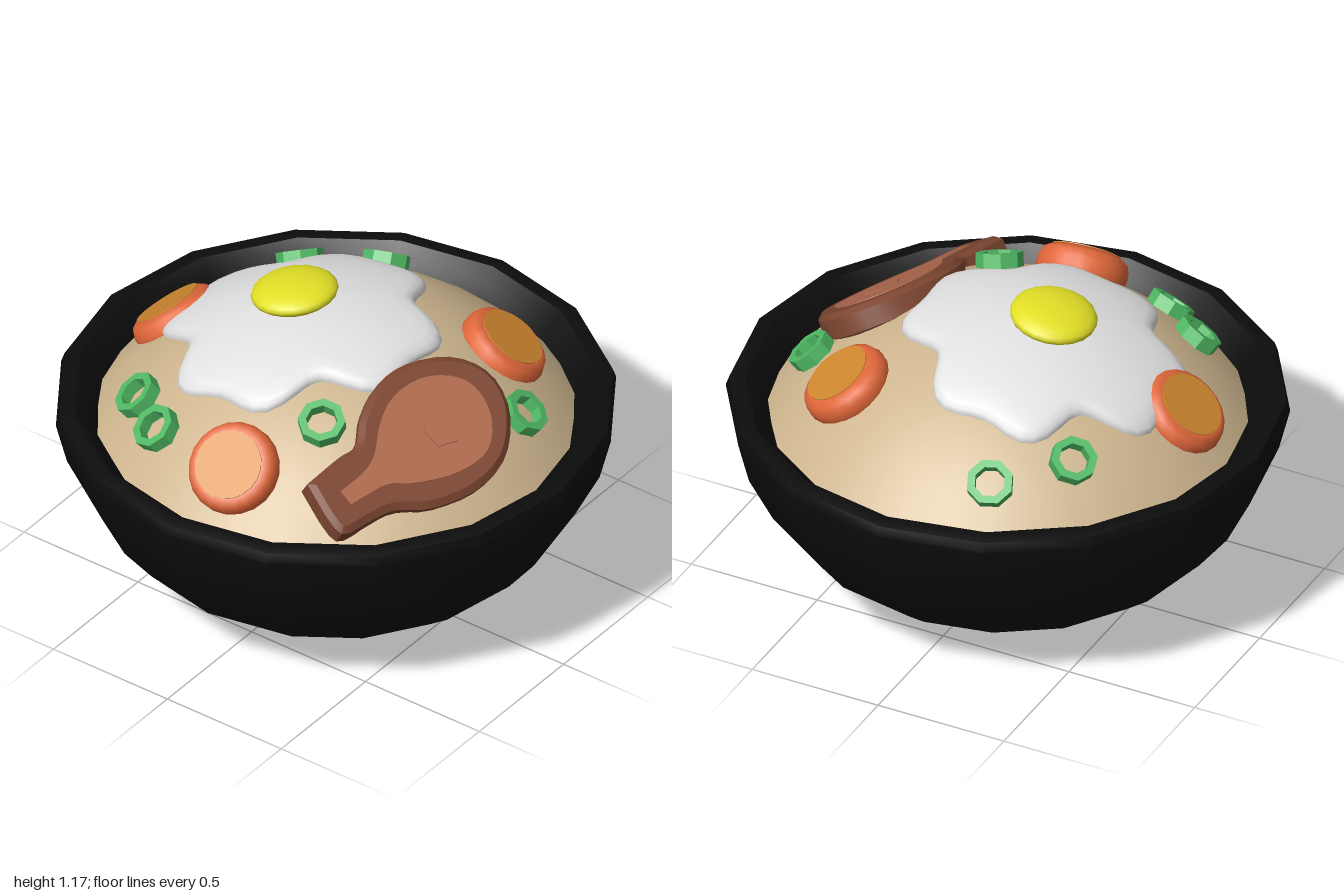
import * as THREE from 'three';
import { toCreasedNormals } from 'three/addons/utils/BufferGeometryUtils.js';

const V2 = (list) => list.map(([x, y]) => new THREE.Vector2(x, y));
const lathe = (list, sides) => new THREE.LatheGeometry(V2(list), sides);
const mat = (name, color) => {
  const m = new THREE.MeshStandardMaterial({ color });
  m.name = name;
  return m;
};

// Height and upward normal of the rice mound
const domeY = (x, z) => {
  const q = x * x + z * z;
  return 1.07 - 0.45 * q - 0.16 * q * q;
};
const domeNormal = (x, z) => {
  const k = 0.9 + 0.64 * (x * x + z * z);
  return new THREE.Vector3(k * x, 1, k * z).normalize();
};

// Four-lobed egg white draped over the rice
function eggWhiteGeometry() {
  const sides = 64, cx = -0.15;
  // [fraction of outline, height above rice]
  const rings = [[0, 0.04], [0.2, 0.04], [0.4, 0.04], [0.6, 0.04], [0.78, 0.04],
    [0.9, 0.04], [0.96, 0.034], [0.99, 0.022], [1, 0.008], [0.985, -0.015]];
  const pos = [], index = [];
  rings.forEach(([t, h], i) => {
    for (let j = 0; j < sides; j++) {
      const a = (j / sides) * Math.PI * 2;
      const r = t * (0.476 + 0.04 * Math.cos(4 * a) - 0.034 * Math.cos(8 * a));
      const x = cx + r * Math.cos(a), z = r * Math.sin(a);
      pos.push(x, domeY(x, z) + h, z);
      if (i === 0) continue;
      const k = (j + 1) % sides, p = (i - 1) * sides, q = i * sides;
      if (i > 1) index.push(p + j, p + k, q + j);
      index.push(p + k, q + k, q + j);
    }
  });
  const g = new THREE.BufferGeometry();
  g.setAttribute('position', new THREE.Float32BufferAttribute(pos, 3));
  g.setIndex(index);
  g.computeVertexNormals();
  return g;
}

// Closed shape in plan (x, z): spline around the body, straight tail end
function planShape(points) {
  const p = V2(points.map(([x, z]) => [x, -z]));
  const s = new THREE.Shape();
  s.moveTo(p[0].x, p[0].y);
  s.splineThru(p.slice(1));
  s.closePath();
  return s;
}

export function createModel() {
  const model = new THREE.Group();
  model.name = 'riceBowl';
  const bowlBlack = mat('bowlBlack', 0x0c0c0c);
  const riceTan = mat('riceTan', 0xcdb58e);
  const eggWhite = mat('eggWhite', 0xe2e2e2);
  const yolkYellow = mat('yolkYellow', 0xe3e026);
  const carrotOrange = mat('carrotOrange', 0xe2683a);
  const carrotCore = mat('carrotCore', 0xd0882f);
  const onionGreen = mat('onionGreen', 0x4fb863);
  const meatBrown = mat('meatBrown', 0x7d4631);
  const meatLight = mat('meatLight', 0xb06a4d);

  const add = (parent, name, geometry, material) => {
    const m = new THREE.Mesh(geometry, material);
    m.name = name;
    parent.add(m);
    return m;
  };
  const up = new THREE.Vector3(0, 1, 0);

  // Bowl with foot, rounded rim and inner wall
  add(model, 'bowl', toCreasedNormals(lathe([
    [0, 0], [0.413, 0], [0.413, 0.045], [0.45, 0.045], [0.65, 0.148], [0.76, 0.235],
    [0.87, 0.375], [0.96, 0.555], [1, 0.715], [0.988, 0.75], [0.95, 0.76], [0.93, 0.758],
    [0.88, 0.71], [0.84, 0.64], [0.78, 0.54]], 16), 0.6), bowlBlack);

  // Rice mound
  const mound = [];
  for (let i = 12; i >= 0; i--) {
    const r = (0.88 * i) / 12;
    mound.push([r, domeY(r, 0)]);
  }
  add(model, 'rice', lathe(mound, 32), riceTan);

  // Fried egg
  add(model, 'eggWhite', eggWhiteGeometry(), eggWhite);
  const yolk = add(model, 'yolk', new THREE.SphereGeometry(0.157, 20, 12), yolkYellow);
  yolk.scale.y = 0.33;
  yolk.position.set(-0.182, 1.118, 0);
  yolk.rotation.z = 0.16;

  // Carrot slices: body centre and facing direction
  const carrotGeo = lathe([[0, -0.07], [0.13, -0.07], [0.155, -0.045], [0.166, -0.01],
    [0.166, 0.02], [0.155, 0.05], [0.128, 0.068], [0, 0.068]], 20);
  const coreGeo = new THREE.CylinderGeometry(0.125, 0.125, 0.008, 20);
  [
    [[0.055, 0.84, 0.675], [0.1, 0.72, 0.7]],
    [[-0.66, 0.815, 0.05], [-0.63, 0.77, 0.02]],
    [[0.42, 0.88, -0.415], [0.45, 0.78, -0.3]],
  ].forEach(([p, n]) => {
    const carrot = new THREE.Group();
    carrot.name = 'carrotSlice';
    carrot.position.set(...p);
    carrot.quaternion.setFromUnitVectors(up, new THREE.Vector3(...n).normalize());
    add(carrot, 'carrotBody', carrotGeo, carrotOrange);
    add(carrot, 'carrotFace', coreGeo, carrotCore).position.y = 0.068;
    model.add(carrot);
  });

  // Spring onion rings lying on the rice
  const ringGeo = toCreasedNormals(lathe([[0.056, -0.03], [0.085, -0.03], [0.085, 0.03],
    [0.056, 0.03], [0.056, -0.03]], 8), 0.5);
  [[-0.27, -0.66], [-0.49, -0.45], [0.67, -0.21], [0.25, 0.42], [-0.49, 0.51], [-0.32, 0.63]]
    .forEach(([x, z], i) => {
      const ring = add(model, 'onionRing', ringGeo, onionGreen);
      ring.position.set(x, domeY(x, z) + 0.02, z);
      ring.quaternion.setFromUnitVectors(up, domeNormal(x, z));
      ring.rotateY(i * 0.7);
    });

  // Meat cut: plan outlines mapped onto a sloping plane
  const sx = 0.64, sz = 0.27;
  const slope = new THREE.Matrix4().makeBasis(
    new THREE.Vector3(1, -sx, 0),
    new THREE.Vector3(0, sz, -1),
    new THREE.Vector3(sx, 1, sz).normalize(),
  ).setPosition(0, 0.925 + sx * 0.57 + sz * 0.13, 0);
  const onSlope = (shape, depth, bevel, top) => {
    const g = new THREE.ExtrudeGeometry(shape, {
      depth: depth - 2 * bevel, curveSegments: 3, bevelEnabled: bevel > 0,
      bevelThickness: bevel, bevelSize: bevel, bevelOffset: -bevel, bevelSegments: 1,
    });
    g.translate(0, 0, top - depth + bevel);
    g.applyMatrix4(slope);
    return toCreasedNormals(g, 0.5);
  };
  const meat = new THREE.Group();
  meat.name = 'meatCut';
  model.add(meat);
  add(meat, 'meatSlab', onSlope(planShape([
    [0.37, 0.66], [0.39, 0.5], [0.405, 0.42], [0.36, 0.33], [0.335, 0.2], [0.36, 0.06],
    [0.45, -0.09], [0.57, -0.155], [0.69, -0.11], [0.77, 0.03], [0.765, 0.2], [0.7, 0.37],
    [0.62, 0.48], [0.585, 0.58], [0.55, 0.69], [0.47, 0.69]]), 0.11, 0.02, 0), meatBrown);
  add(meat, 'meatFace', onSlope(planShape([
    [0.46, 0.595], [0.475, 0.48], [0.465, 0.4], [0.42, 0.31], [0.395, 0.2], [0.42, 0.07],
    [0.49, -0.03], [0.57, -0.065], [0.66, -0.03], [0.715, 0.07], [0.69, 0.21], [0.62, 0.35],
    [0.555, 0.44], [0.53, 0.52], [0.51, 0.6]]), 0.008, 0, 0.004), meatLight);
  const marrow = new THREE.Shape();
  marrow.absellipse(0.565, -0.13, 0.062, 0.08, 0, Math.PI * 2, false, 0);
  add(meat, 'marrow', onSlope(marrow, 0.009, 0, 0.01), meatLight);

  return model;
}
